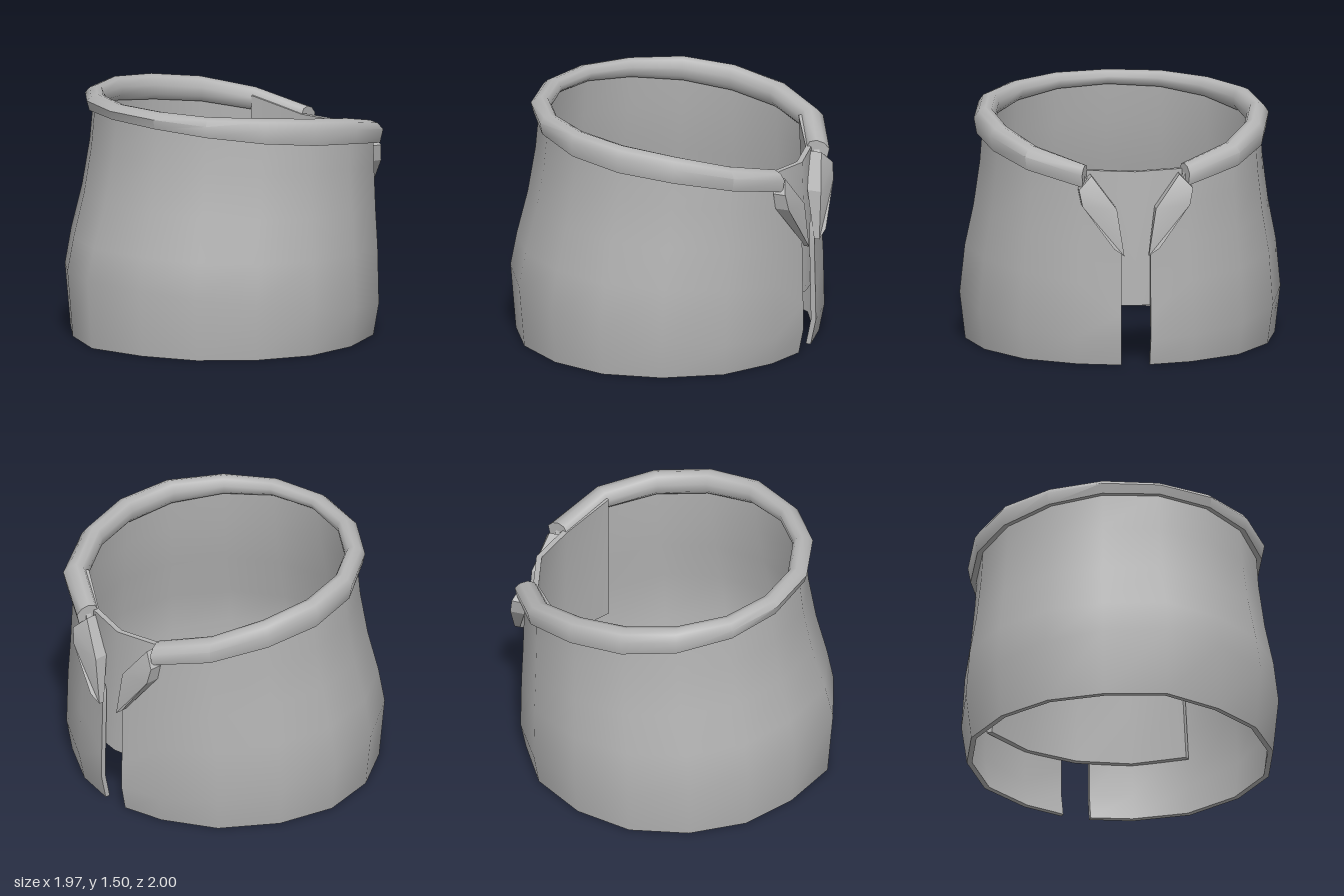
import * as THREE from 'three';
import { toCreasedNormals } from 'three/addons/utils/BufferGeometryUtils.js';

// Half plans [x, z] from the front centre round to the back slit
const BELLY = [[0, 1], [.38, .88], [.69, .68], [.9, .37], [.985, 0], [.9, -.37], [.68, -.7], [.36, -.89], [.09, -.955]];
const NECK = [[0, .78], [.33, .71], [.6, .53], [.79, .25], [.85, -.07], [.79, -.4], [.62, -.7], [.31, -.88], [.09, -.945]];
const WALL_TOP = [1.44, 1.43, 1.41, 1.39, 1.36, 1.33, 1.27, 1.18, .75];
const RIM_Y = [1.41, 1.4, 1.37, 1.33, 1.29, 1.25, 1.19, 1.11];
const RIM_H = [.09, .1, .12, .15, .16, .155, .14, .13];

// Solid skin through closed cross-sections, with capped ends
function loft(sections, crease) {
  const n = sections[0].length, last = sections.length - 1, tris = [];
  const quad = (a, b, c, d) => tris.push([a, b, c], [a, c, d]);
  for (let s = 0; s < last; s++) {
    const A = sections[s], B = sections[s + 1];
    for (let i = 0; i < n; i++) {
      const j = (i + 1) % n;
      quad(A[i], B[i], B[j], A[j]);
    }
  }
  const A = sections[0], B = sections[last];
  for (let i = 0; i < n / 2 - 1; i++) {
    quad(A[i], A[i + 1], A[n - 2 - i], A[n - 1 - i]);
    quad(B[n - 1 - i], B[n - 2 - i], B[i + 1], B[i]);
  }
  // Turn the faces outward
  let volume = 0;
  const u = new THREE.Vector3(), v = new THREE.Vector3(), w = new THREE.Vector3();
  for (const [a, b, c] of tris) volume += u.set(...a).dot(v.set(...b).cross(w.set(...c)));
  if (volume < 0) tris.forEach(t => t.reverse());
  const geometry = new THREE.BufferGeometry();
  geometry.setAttribute('position', new THREE.Float32BufferAttribute(tris.flat(2), 3));
  return toCreasedNormals(geometry, crease);
}

const flip = section => section.map(([x, y, z]) => [-x, y, z]);

// Mirror half the stations; the first lies on the centre line
const bothSides = half => [...half.slice(1).reverse().map(flip), ...half];

function wallSection(k) {
  const rows = [[0, 0], [0, 0], [.43, .22], [.62, .6], [.82, .87], [1, 1]];
  const outer = rows.map(([f, blend], i) => {
    const bulgeY = .29 + .13 * Math.cos(k * Math.PI / 8);
    const y = i === 1 ? bulgeY : f * WALL_TOP[k];
    const s = i === 0 ? .965 : 1;
    return [
      s * THREE.MathUtils.lerp(BELLY[k][0], NECK[k][0], blend), y,
      s * THREE.MathUtils.lerp(BELLY[k][1], NECK[k][1], blend)];
  });
  const inner = outer.map(([x, y, z]) => [k === 8 ? x : x * .965, y, z * .965]).reverse();
  return [...outer, ...inner];
}

function rimSection(k) {
  const profile = [[1.045, 0], [1.065, .6], [1.03, .88], [.98, 1], [.935, .92], [.91, .6], [.915, .25], [.95, .02]];
  return profile.map(([s, h]) => [NECK[k][0] * s, RIM_Y[k] + h * RIM_H[k], NECK[k][1] * s]);
}

// Inner panel that bridges the slit: bottom x z, top x y z
const GUSSET = [
  [0, -.89, 0, 1.2, -.87],
  [.33, -.83, .28, 1.2, -.8],
  [.62, -.64, .56, 1.29, -.625],
];
function gussetSection([bx, bz, tx, ty, tz]) {
  const mid = [bx * .6 + tx * .4, .8, bz * .6 + tz * .4];
  const inner = [[bx, .37, bz], mid, [tx, ty, tz]];
  const outer = inner.map(([x, y, z]) => [x * 1.04, y, z * 1.04]).reverse();
  return [...inner, ...outer];
}

// Flap beside the slit: outer edge, slit edge, thickness
const FLAP = [
  [[.35, 1.1, -.95], [.27, 1.18, -.91], .08],
  [[.33, 1.0, -.965], [.12, .98, -.975], .09],
  [[.14, .74, -1], [.075, .69, -.985], .035],
];
const flapSection = ([a, b, t]) => [a, b, [b[0], b[1], b[2] + t], [a[0], a[1], a[2] + t]];

export function createModel() {
  const group = new THREE.Group();
  const grey = new THREE.MeshStandardMaterial({ color: 0xb4b4b4 });
  grey.name = 'grey';
  const add = (name, sections, crease) => {
    const mesh = new THREE.Mesh(loft(sections, crease), grey);
    mesh.name = name;
    group.add(mesh);
  };

  add('cuffWall', bothSides(BELLY.map((_, k) => wallSection(k))), .8);
  add('rolledRim', bothSides(RIM_Y.map((_, k) => rimSection(k))), 1);
  add('innerGusset', bothSides(GUSSET.map(gussetSection)), .8);
  const flap = FLAP.map(flapSection);
  add('leftFlap', flap, .4);
  add('rightFlap', flap.map(flip), .4);
  return group;
}
